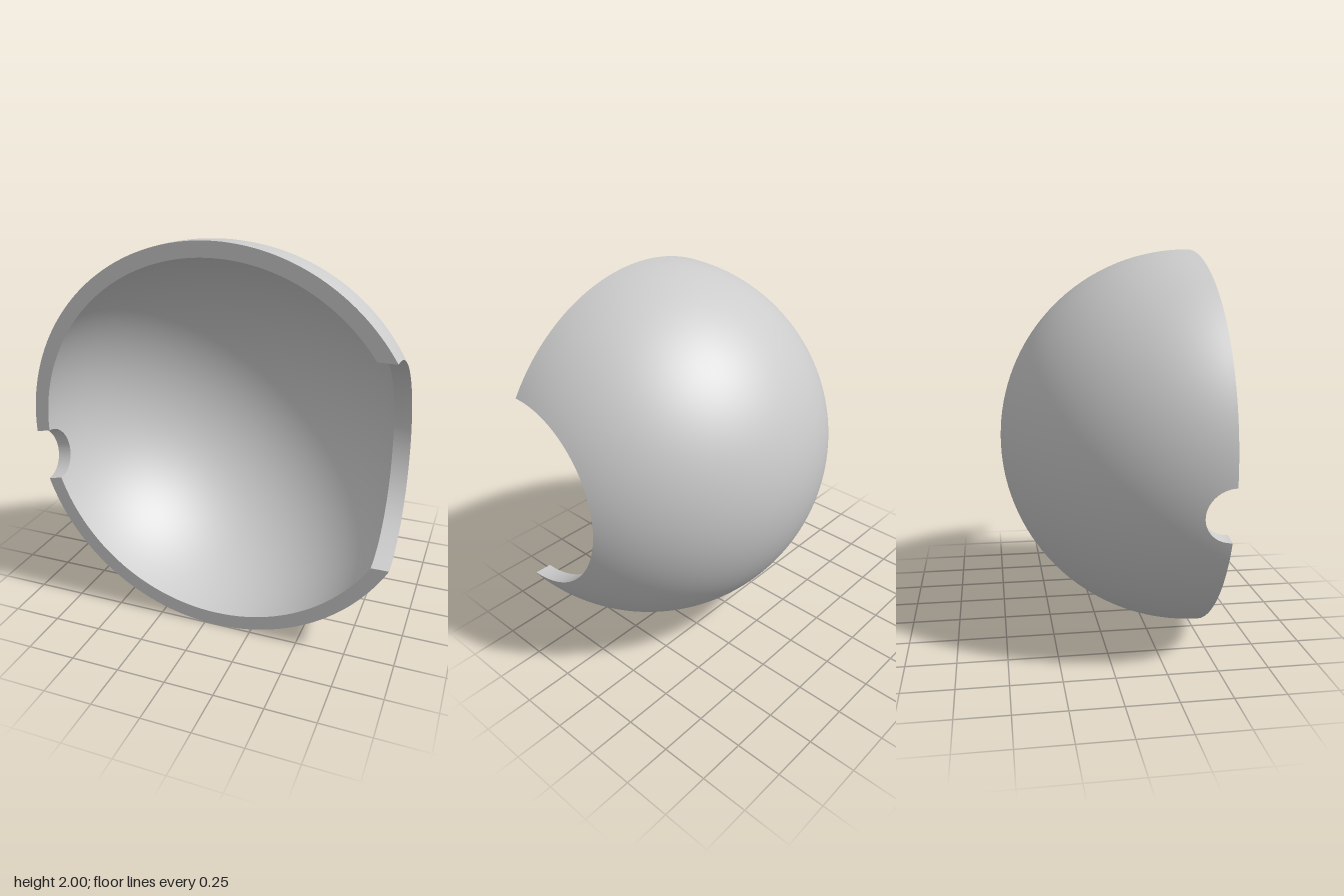
import * as THREE from 'three';

const CENTRE = new THREE.Vector3(0.0615, 1, 0.5);
const OUTER = 1, INNER = 0.925;

// A round opening bored along an axis in the xy plane; "up" is the axis turned a quarter turn.
// lift shifts the bore off the sphere's centre.
const bigHole = { axis: [1, 0], up: [0, 1], radius: 0.504, lift: 0.026 };
const tilt = THREE.MathUtils.degToRad(10);
const smallHole = {
  axis: [-Math.cos(tilt), -Math.sin(tilt)],
  up: [-Math.sin(tilt), Math.cos(tilt)],
  radius: 0.1345, lift: 0,
};

// Point where a bore meets a sphere of radius r; phi runs from its top (0) round the back to its bottom (PI)
function holeEdge(hole, phi, r) {
  const h = hole.lift + hole.radius * Math.cos(phi);
  const z = -hole.radius * Math.sin(phi);
  const a = Math.sqrt(r * r - h * h - z * z);
  return new THREE.Vector3(
    hole.axis[0] * a + hole.up[0] * h,
    hole.axis[1] * a + hole.up[1] * h,
    z,
  );
}

// Point on the half sphere: s runs along a great circle from the big hole (0) to the small hole (1)
function shellPoint(t, s, r) {
  const a = holeEdge(bigHole, t * Math.PI, r);
  const b = holeEdge(smallHole, t * Math.PI, r);
  const angle = a.angleTo(b);
  return a.multiplyScalar(Math.sin((1 - s) * angle))
    .addScaledVector(b, Math.sin(s * angle))
    .setLength(r)
    .add(CENTRE);
}

// Bend a grid by a rule point(u, v)
function bentGrid(nu, nv, point) {
  const geometry = new THREE.PlaneGeometry(1, 1, nu, nv);
  const { position, uv } = geometry.attributes;
  for (let i = 0; i < position.count; i++) {
    const p = point(uv.getX(i), uv.getY(i));
    position.setXYZ(i, p.x, p.y, p.z);
  }
  geometry.computeVertexNormals();
  return geometry;
}

export function createModel() {
  const group = new THREE.Group();
  group.name = 'halfShell';
  const material = new THREE.MeshStandardMaterial({ color: 0xcccccc });
  const add = (name, nu, nv, point) => {
    const mesh = new THREE.Mesh(bentGrid(nu, nv, point), material);
    mesh.name = name;
    group.add(mesh);
  };
  const { lerp } = THREE.MathUtils;
  const around = 72, along = 96;

  // Curved skins
  add('outerSkin', around, along, (u, v) => shellPoint(u, v, OUTER));
  add('innerSkin', around, along, (u, v) => shellPoint(1 - u, v, INNER));

  // Walls of the two openings
  add('bigHoleWall', around, 1, (u, v) => shellPoint(u, 0, lerp(INNER, OUTER, v)));
  add('smallHoleWall', around, 1, (u, v) => shellPoint(u, 1, lerp(OUTER, INNER, v)));

  // Flat front rim, above and below the openings
  add('upperRim', along, 1, (u, v) => shellPoint(0, u, lerp(OUTER, INNER, v)));
  add('lowerRim', along, 1, (u, v) => shellPoint(1, u, lerp(INNER, OUTER, v)));

  return group;
}
